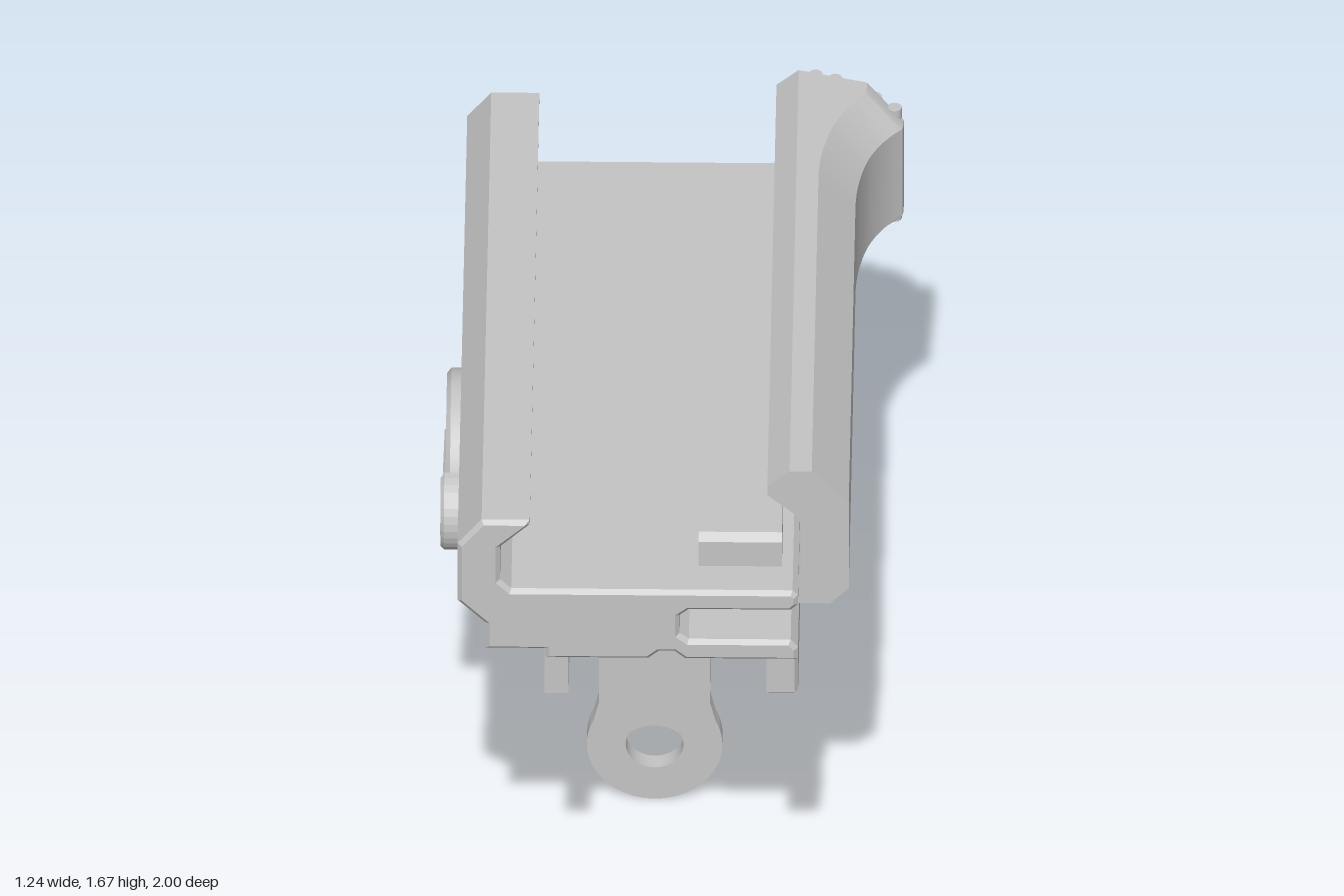
import * as THREE from 'three';
import { toCreasedNormals } from 'three/addons/utils/BufferGeometryUtils.js';

export function createModel() {
  const model = new THREE.Group();
  model.name = 'railMount';
  const grey = new THREE.MeshStandardMaterial({ color: 0xc4c4c4 });
  grey.name = 'grey';

  const add = (name, geometry, x = 0, y = 0, z = 0) => {
    const mesh = new THREE.Mesh(geometry, grey);
    mesh.name = name;
    mesh.position.set(x, y, z);
    model.add(mesh);
    return mesh;
  };
  const outline = pts => new THREE.Shape(pts.map(p => new THREE.Vector2(p[0], p[1])));
  // Extrusion along z with an optional inset chamfer at both ends
  const alongZ = (shape, z0, z1, chamfer = 0, steps = 1) =>
    new THREE.ExtrudeGeometry(shape, {
      depth: z1 - z0 - 2 * chamfer, steps, curveSegments: 24, bevelEnabled: chamfer > 0,
      bevelThickness: chamfer, bevelSize: chamfer, bevelOffset: -chamfer, bevelSegments: 1,
    }).translate(0, 0, z0 + chamfer);
  // Points are (x, z), extruded upwards
  const alongY = (pts, y0, y1, chamfer = 0) =>
    alongZ(outline(pts.map(([x, z]) => [x, -z])), y0, y1, chamfer).rotateX(-Math.PI / 2);
  // Points are (z, y), extruded sideways
  const alongX = (pts, x0, x1, chamfer = 0) =>
    alongZ(outline(pts.map(([z, y]) => [-z, y])), x0, x1, chamfer).rotateY(Math.PI / 2);
  const rod = (r0, r1, x0, x1, segments = 32) =>
    new THREE.CylinderGeometry(r1, r0, x1 - x0, segments)
      .rotateZ(-Math.PI / 2).translate((x0 + x1) / 2, 0, 0);
  const reshape = (geometry, rule) => {
    const p = geometry.attributes.position;
    const v = new THREE.Vector3();
    for (let i = 0; i < p.count; i++) {
      rule(v.fromBufferAttribute(p, i));
      p.setXYZ(i, v.x, v.y, v.z);
    }
    geometry.computeVertexNormals();
    return geometry;
  };
  // Sloped underside at the back end
  const taper = g => reshape(g, v => {
    if (v.y < 1.2) v.z = Math.max(v.z, -0.79 - (v.y - 1.03));
  });

  // Main body with fixed hooked rail and clamp slot
  add('body', taper(alongZ(outline([
    [-0.5, 1.61], [-0.565, 1.53], [-0.565, 1.34], [-0.49, 1.265], [-0.49, 1.18],
    [-0.33, 1.18], [-0.33, 1.15], [-0.05, 1.15], [-0.02, 1.175], [0.02, 1.175],
    [0.05, 1.15], [0.355, 1.15], [0.355, 1.19], [0.335, 1.215], [0.06, 1.215],
    [0.035, 1.235], [0.035, 1.295], [0.06, 1.315], [0.335, 1.315], [0.355, 1.335],
    [0.355, 1.365], [0.34, 1.38], [-0.42, 1.38], [-0.45, 1.41], [-0.45, 1.52],
    [-0.37, 1.595], [-0.37, 1.61],
  ]), -0.965, 1, 0.012)));

  // Underside: two legs in front of the post, a solid slab behind it that narrows on the right
  add('rightLeg', alongY([
    [0.27, 0.99], [0.345, 0.99], [0.355, 0.975], [0.355, -0.11], [0.27, -0.11],
  ], 1.03, 1.165, 0.008));
  add('leftLeg', alongY([
    [-0.33, 0.99], [-0.265, 0.99], [-0.265, -0.11], [-0.33, -0.11],
  ], 1.03, 1.19));
  add('rearSlab', taper(alongY([
    [-0.33, -0.1], [0.355, -0.1], [0.355, -0.12], [0.215, -0.35], [0.215, -0.96], [-0.33, -0.96],
  ], 1.03, 1.165)));

  // Lug that carries the thumb wheel, with a bevelled foot
  add('wheelLug', new THREE.BoxGeometry(0.23, 0.16, 0.84), -0.38, 1.11, -0.06);
  add('lugFoot', reshape(alongZ(outline([
    [-0.495, 1.03], [-0.495, 0.98], [-0.31, 0.98], [-0.265, 1.03],
  ]), -0.48, 0.36), v => {
    if (v.y < 1) v.z -= 0.03 * Math.sign(v.z);
  }));

  // Moving clamp: flared outward and swept forward at its back end
  const ramp = t => THREE.MathUtils.clamp(t, 0, 1);
  const clamp = reshape(alongZ(outline([
    [0.33, 1.67], [0.27, 1.62], [0.27, 1.59], [0.35, 1.52], [0.36, 1.5], [0.36, 1.33],
    [0.34, 1.305], [0.07, 1.305], [0.05, 1.285], [0.05, 1.245], [0.07, 1.228],
    [0.44, 1.228], [0.49, 1.28], [0.49, 1.57], [0.39, 1.67],
  ]), -0.985, 0.84, 0, 60), v => {
    if (v.x > 0.37) v.x += 0.125 * ramp((-0.5 - v.z) / 0.43) ** 2;
    if (v.x > 0.36) v.z += (v.x - 0.36) * 0.35 * ramp((-0.7 - v.z) / 0.285);
  });
  add('clamp', toCreasedNormals(clamp, 0.45));

  // Grip ribs on the clamp's back end
  for (let i = 0; i < 5; i++) {
    const t = i / 4;
    const bottom = 1.24, top = 1.665 - 0.09 * Math.max(0, t - 0.4);
    add('gripRib', new THREE.CylinderGeometry(0.02, 0.02, top - bottom, 12),
      0.375 + 0.215 * t, (top + bottom) / 2, -0.975 + 0.075 * t);
  }

  // Retaining bar across the back
  add('backBar', alongX([
    [-0.95, 1.24], [-0.985, 1.24], [-0.995, 1.25], [-0.995, 1.3], [-0.985, 1.31], [-0.95, 1.31],
  ], -0.28, 0.36));
  add('barCatch', new THREE.BoxGeometry(0.06, 0.095, 0.045), -0.255, 1.275, -0.9775);

  // Stop block on the deck
  add('stopBlock', alongX([
    [0.68, 1.37], [0.68, 1.48], [0.86, 1.48], [0.88, 1.46], [0.88, 1.37],
  ], 0.085, 0.31));

  // Cross pin and thumb wheel
  const axisY = 1.117, axisZ = 0.04;
  add('crossPin', rod(0.05, 0.05, -0.5, 0.362), 0, axisY, axisZ);
  add('pinTip', rod(0.05, 0.038, 0.362, 0.375), 0, axisY, axisZ);
  add('wheelHub', rod(0.075, 0.075, -0.57, -0.47), 0, axisY, axisZ);
  add('wheel', rod(0.243, 0.243, -0.595, -0.5, 48), 0, axisY, axisZ);
  add('wheelChamfer', rod(0.23, 0.243, -0.607, -0.595, 48), 0, axisY, axisZ);
  const ridge = add('wheelRidge', new THREE.BoxGeometry(0.02, 0.035, 0.42), -0.605, axisY, axisZ);
  ridge.rotation.x = -0.35;
  // Half-round thumb tab at the wheel's front edge
  const tab = [];
  for (let i = 0; i <= 16; i++) {
    const a = (i / 16 - 0.5) * Math.PI;
    tab.push([0.265 + 0.115 * Math.cos(a), axisY + 0.115 * Math.sin(a)]);
  }
  add('wheelTab', alongX(tab, -0.62, -0.555, 0.01));

  // Post: a core between two faces that have stepped recesses
  const cx = -0.045, ringY = 0.185;
  const postShape = (inset, slotTop) => {
    const s = new THREE.Shape();
    const left = -0.195 + inset, right = 0.105 - inset;
    s.moveTo(-0.195, 1.16);
    s.lineTo(-0.195, slotTop);
    s.lineTo(left, slotTop);
    s.lineTo(left, 0.255);
    s.lineTo(left + 0.02, 0.235);
    s.lineTo(cx - 0.0866, 0.235);
    s.absarc(cx, ringY, 0.1, Math.PI * 5 / 6, Math.PI / 6, true);
    s.lineTo(right - 0.02, 0.235);
    s.lineTo(right, 0.255);
    s.lineTo(right, slotTop);
    s.lineTo(0.105, slotTop);
    s.lineTo(0.105, 1.16);
    return s;
  };
  const faceShape = postShape(0, 0.37);
  faceShape.holes.push(outline([
    [-0.105, 1.04], [0.015, 1.04], [0.015, 0.855], [-0.01, 0.855],
    [-0.01, 0.79], [-0.08, 0.79], [-0.08, 0.855], [-0.105, 0.855],
  ]));
  add('postCore', alongZ(postShape(0.025, 0.375), 0.02, 0.075));
  add('postFace', alongZ(faceShape, 0.075, 0.125));
  add('postFace', alongZ(faceShape, -0.03, 0.02));

  // Eyelet whose shoulders run up into the side slots of the post
  const ring = new THREE.Shape();
  ring.moveTo(0.095, 0.365);
  ring.lineTo(-0.185, 0.365);
  ring.absarc(cx, ringY, 0.183, Math.PI - 0.45, Math.PI * 2 + 0.45, false);
  const hole = new THREE.Path();
  hole.absarc(cx, ringY, 0.078, 0, Math.PI * 2, true);
  ring.holes.push(hole);
  add('eyelet', toCreasedNormals(alongZ(ring, 0.021, 0.074), 0.5));

  return model;
}
